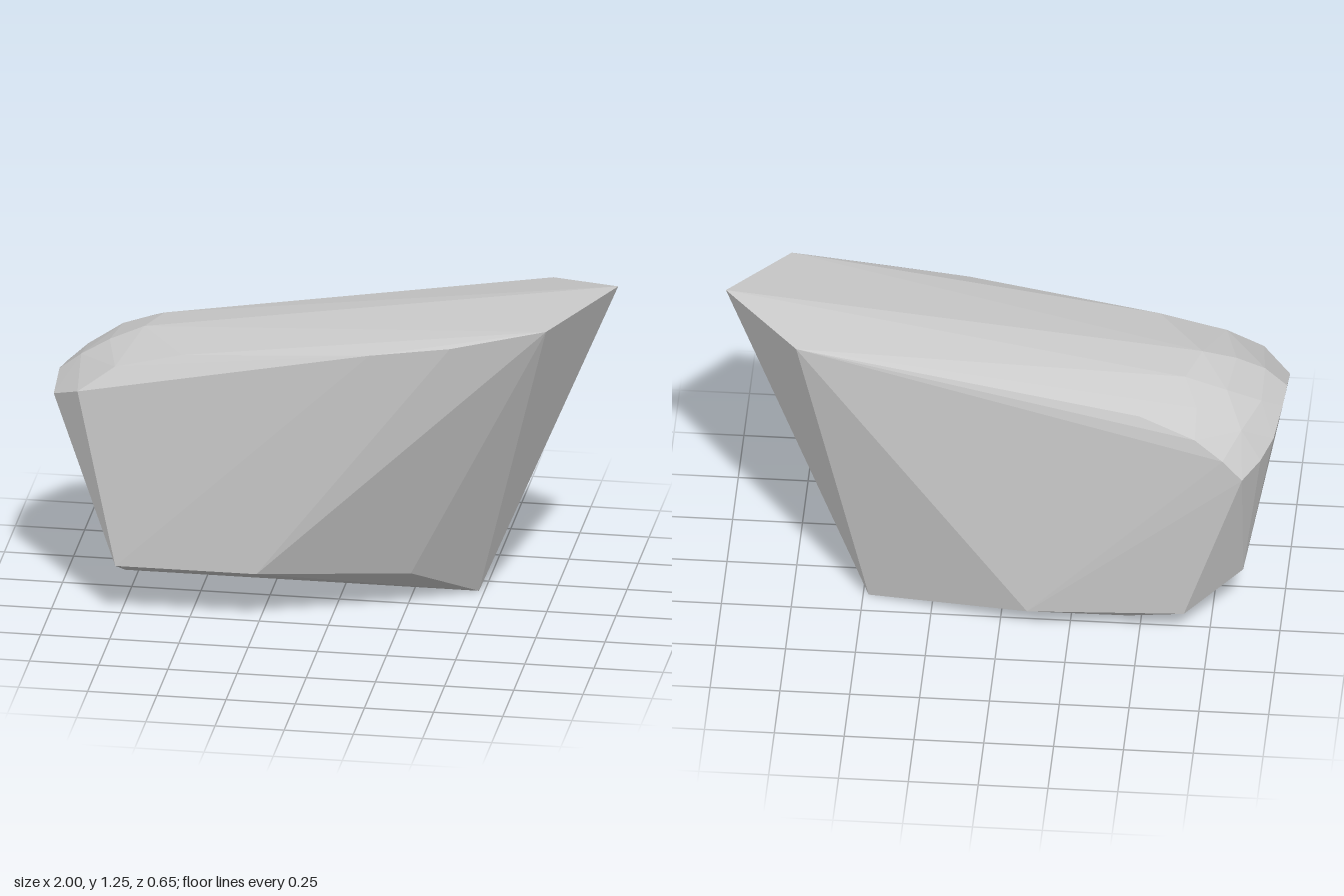
import * as THREE from 'three';
import { ConvexGeometry } from 'three/addons/geometries/ConvexGeometry.js';

// Corner groups of the faceted stone, each corner as [x, y, z]
const prow = [[1, 1.25, -0.05], [0.79, 1.19, 0.27], [0.73, 1.175, -0.28]];

const base = [
  [0.48, 0, -0.155], [0.27, 0.145, 0.07], [-0.25, 0.205, 0.31],
  [-0.76, 0.205, 0.312], [-0.73, 0.175, 0.27], [-0.86, 0.19, -0.15],
  [-0.66, 0.093, -0.302], [-0.46, 0.065, -0.29], [-0.1, 0.088, -0.325],
];

// Rim of the blunt end, from back to front
const rim = [
  [-0.8, 0.8, -0.328], [-0.87, 0.72, -0.328], [-0.93, 0.755, -0.25],
  [-0.97, 0.79, -0.16], [-0.992, 0.84, -0.03], [-1, 0.855, 0.07],
  [-1, 0.81, 0.2], [-0.9, 0.86, 0.29],
];

const frontShoulder = [[0.16, 1.08, 0.325], [0.45, 1.12, 0.315]];

// Rounded crown above the blunt end
const crown = [
  [-0.77, 0.95, 0.255], [-0.53, 1.01, 0.255],
  [-0.92, 0.92, 0.08], [-0.82, 0.975, 0.06], [-0.7, 1.02, 0.03],
  [-0.92, 0.895, -0.08], [-0.8, 0.965, -0.12], [-0.65, 1.015, -0.12],
  [-0.86, 0.87, -0.23], [-0.7, 0.96, -0.23],
  [-0.7, 0.88, -0.315], [-0.5, 0.96, -0.295],
];

export function createModel() {
  const model = new THREE.Group();
  model.name = 'stone';

  const stoneGrey = new THREE.MeshStandardMaterial({ color: 0xcacaca });
  stoneGrey.name = 'stone grey';

  // The body is the flat-faced hull around all the corners
  const corners = [...prow, ...base, ...rim, ...frontShoulder, ...crown]
    .map((p) => new THREE.Vector3(...p));
  const body = new THREE.Mesh(new ConvexGeometry(corners), stoneGrey);
  body.name = 'stoneBody';
  model.add(body);

  return model;
}
